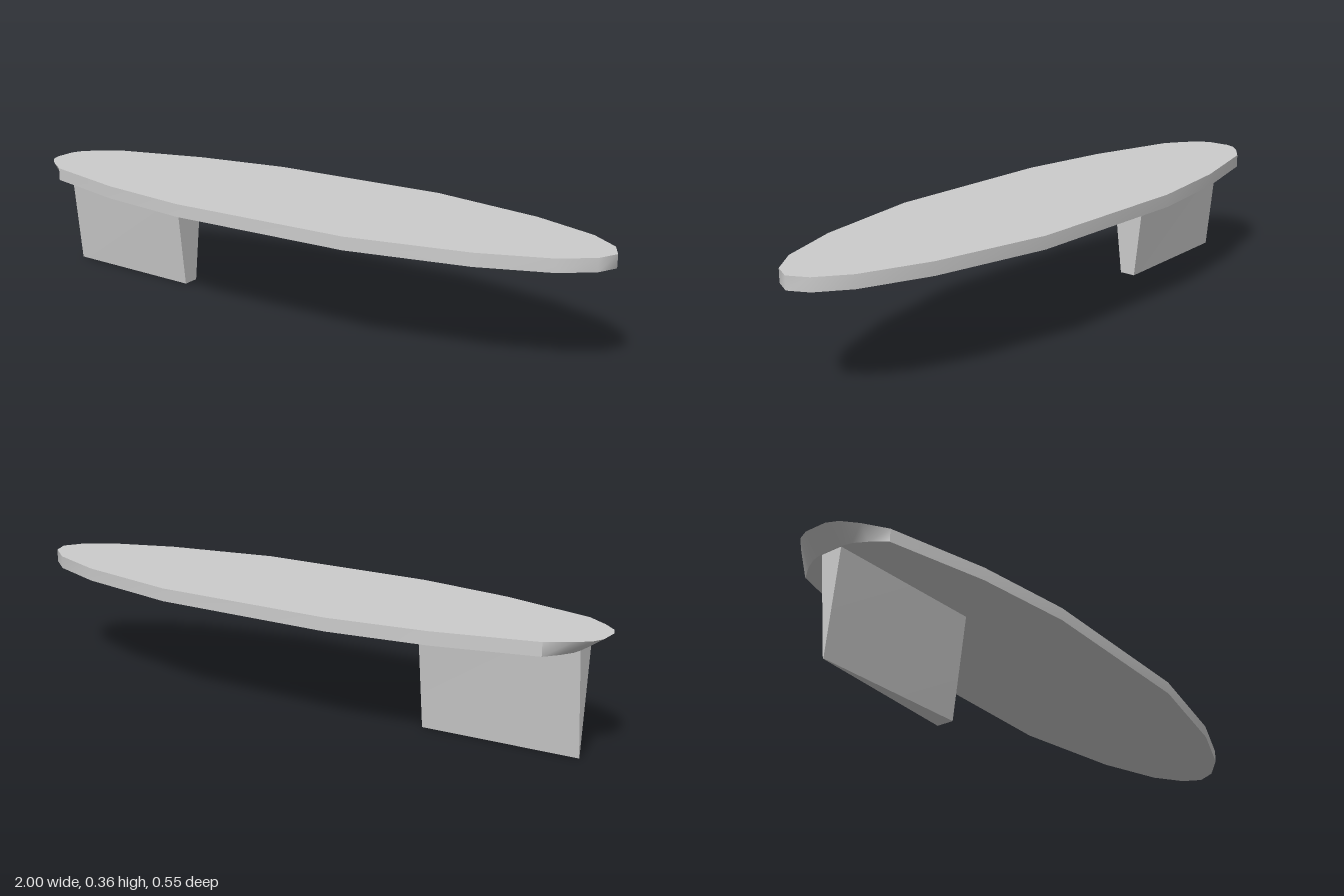
import * as THREE from 'three';
import { toCreasedNormals } from 'three/addons/utils/BufferGeometryUtils.js';

const TOP = 0.358, BOTTOM = 0.318, TAIL_X = -0.88;

// Half outline of the deck from nose to tail, as [x, z]
const HALF = [
  [1, 0], [0.97, 0.06], [0.88, 0.128], [0.675, 0.205], [0.31, 0.276], [-0.28, 0.276],
  [-0.585, 0.232], [TAIL_X, 0.153], [-0.945, 0.108], [-0.985, 0.07], [-1, 0.035],
];

function makeMesh(name, positions, crease) {
  const geometry = new THREE.BufferGeometry();
  geometry.setAttribute('position', new THREE.Float32BufferAttribute(positions.flat(), 3));
  const material = new THREE.MeshStandardMaterial({ color: 0xcccccc });
  const mesh = new THREE.Mesh(toCreasedNormals(geometry, crease), material);
  mesh.name = name;
  return mesh;
}

// Two triangles for corners given counter-clockwise from outside
const quad = (a, b, c, d) => [a, b, c, a, c, d];

function createDeck() {
  const outline = [...HALF, ...HALF.slice(1).reverse().map(([x, z]) => [x, -z])];
  const upper = outline.map(([x, z]) => [x, TOP, z]);
  // The underside is pulled in behind the tail line to form a slanted undercut
  const lower = outline.map(([x, z]) => [x < TAIL_X ? TAIL_X + (x - TAIL_X) * 0.5 : x, BOTTOM, z]);

  const body = [], tail = [];
  for (let i = 0; i < outline.length; i++) {
    const j = (i + 1) % outline.length;
    const isTail = outline[i][0] < TAIL_X || outline[j][0] < TAIL_X;
    (isTail ? tail : body).push(...quad(upper[i], upper[j], lower[j], lower[i]));
    // Flat caps, fanned from the middle
    body.push([0, TOP, 0], upper[j], upper[i]);
    body.push([0, BOTTOM, 0], lower[i], lower[j]);
  }
  const deck = new THREE.Group();
  deck.name = 'deck';
  deck.add(makeMesh('deckBody', body, 1.1), makeMesh('tailUndercut', tail, 0.9));
  return deck;
}

// Fin tapering downwards and towards the tail
function createFin() {
  const ring = (y, front, back) => [
    [-0.457, y, front], [-0.457, y, -front], [-0.937, y, -back], [-0.937, y, back],
  ];
  const low = ring(0, 0.027, 0.001), high = ring(BOTTOM, 0.065, 0.035);
  const faces = [
    ...quad(high[0], high[1], high[2], high[3]),
    ...quad(low[3], low[2], low[1], low[0]),
  ];
  for (let i = 0; i < 4; i++) {
    const j = (i + 1) % 4;
    faces.push(...quad(low[i], low[j], high[j], high[i]));
  }
  return makeMesh('fin', faces, 0.3);
}

export function createModel() {
  const model = new THREE.Group();
  model.name = 'finnedBoard';
  model.add(createDeck(), createFin());
  return model;
}
